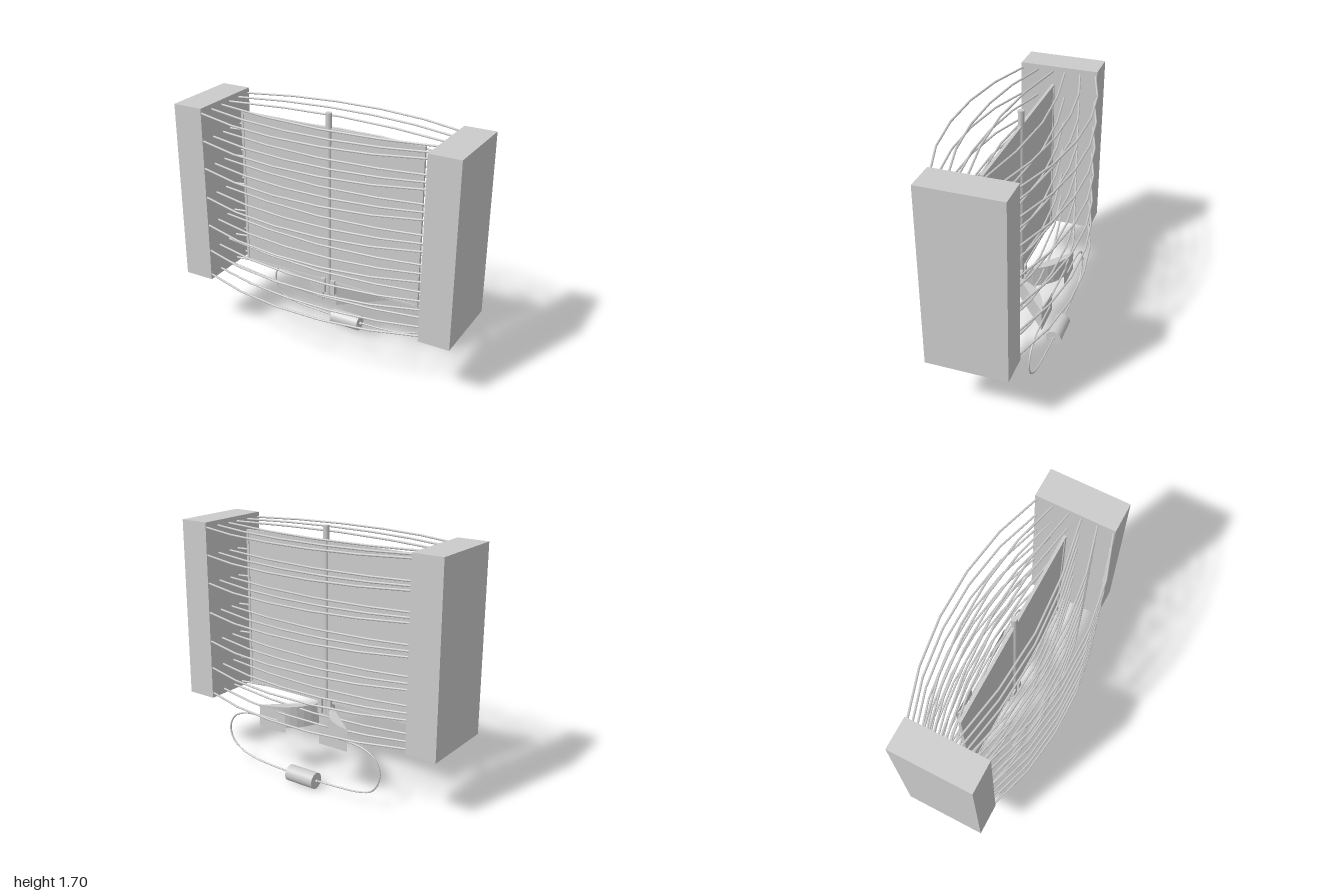
import * as THREE from 'three';

const material = new THREE.MeshStandardMaterial({ color: 0xcccccc });
const doubleSided = new THREE.MeshStandardMaterial({ color: 0xcccccc, side: THREE.DoubleSide });

export function createModel() {
  const model = new THREE.Group();

  const add = (name, geometry, x = 0, y = 0, z = 0, mat = material) => {
    const mesh = new THREE.Mesh(geometry, mat);
    mesh.name = name;
    mesh.position.set(x, y, z);
    model.add(mesh);
    return mesh;
  };
  const box = (name, w, h, d, x, y, z) => add(name, new THREE.BoxGeometry(w, h, d), x, y, z);
  const tube = (points, segments, radius, sides) => new THREE.TubeGeometry(
    new THREE.CatmullRomCurve3(points.map((p) => new THREE.Vector3(...p))), segments, radius, sides);

  // End blocks
  for (const s of [-1, 1]) box('endBlock', 0.21, 1.24, 0.54, s * 0.895, 1.05, 0);

  // Bowed wires between the blocks: [x, z] profiles, mirrored front to back
  const bows = [
    [[-0.8, 0.255], [-0.48, 0.355], [-0.16, 0.4], [0.16, 0.4], [0.48, 0.355], [0.8, 0.255]],
    [[-0.8, 0.148], [-0.48, 0.23], [-0.16, 0.268], [0.16, 0.268], [0.48, 0.23], [0.8, 0.148]],
    [[-0.8, 0.04], [-0.4, 0.11], [0, 0.137], [0.4, 0.11], [0.8, 0.04]],
  ];
  for (const y of [0.463, 0.65, 0.843, 1.048, 1.255, 1.447, 1.635]) {
    for (const bow of bows) {
      for (const s of [-1, 1]) {
        add('bowedWire', tube(bow.map(([x, z]) => [x, 0, s * z]), bow.length - 1, 0.007, 8), 0, y, 0);
      }
    }
  }

  // Flat panel with its thin rim
  box('panel', 1.3, 1.08, 0.008, 0, 1.05, 0);
  for (const s of [-1, 1]) {
    box('panelSideRim', 0.018, 1.1, 0.02, s * 0.654, 1.05, 0);
    box('panelEndRim', 1.326, 0.014, 0.02, 0, 1.05 + s * 0.543, 0);
  }

  // Central rod
  add('centralRod', new THREE.CylinderGeometry(0.02, 0.02, 1.3, 16), 0, 1.05, 0);

  // Clamp blocks, curved arms and back plates on both sides of the rod
  for (const s of [-1, 1]) {
    box('clampBlock', 0.034, 0.105, 0.05, s * 0.038, 0.472, 0);

    const arm = new THREE.Shape();
    arm.moveTo(s * 0.055, 0.005);
    arm.lineTo(s * 0.36, 0.265);
    arm.bezierCurveTo(s * 0.2, 0.235, s * 0.11, 0.17, s * 0.055, 0.005);
    const armGeometry = new THREE.ExtrudeGeometry(arm, { depth: 0.15, bevelEnabled: false, curveSegments: 8 });
    armGeometry.rotateX(-Math.PI / 2);
    add('curvedArm', armGeometry, 0, 0.33, 0);

    add('backPlate', new THREE.PlaneGeometry(0.22, 0.15), s * 0.25, 0.405, -0.268, doubleSided);
  }

  // Looping cable, one half per side
  const rightCable = [[-0.2, 0.405], [-0.36, 0.405], [-0.48, 0.39], [-0.57, 0.345], [-0.613, 0.26],
    [-0.6, 0.175], [-0.55, 0.11], [-0.46, 0.08], [-0.3, 0.064], [-0.1, 0.056]];
  const leftCable = [[0.2, 0.405], [0.36, 0.405], [0.5, 0.388], [0.585, 0.345], [0.627, 0.26],
    [0.61, 0.18], [0.55, 0.12], [0.44, 0.08], [0.28, 0.062], [0.08, 0.056]];
  for (const path of [rightCable, leftCable]) {
    add('cable', tube(path.map(([x, y]) => [x, y, -0.272]), 40, 0.006, 8));
  }

  // Barrel hanging on the cable, with small collars at its ends
  const barrel = add('barrel', new THREE.CylinderGeometry(0.055, 0.055, 0.218, 32), -0.009, 0.055, -0.272);
  barrel.rotation.z = Math.PI / 2;
  const collar = add('collar', new THREE.CylinderGeometry(0.01, 0.01, 0.245, 12), -0.009, 0.055, -0.272);
  collar.rotation.z = Math.PI / 2;

  return model;
}
